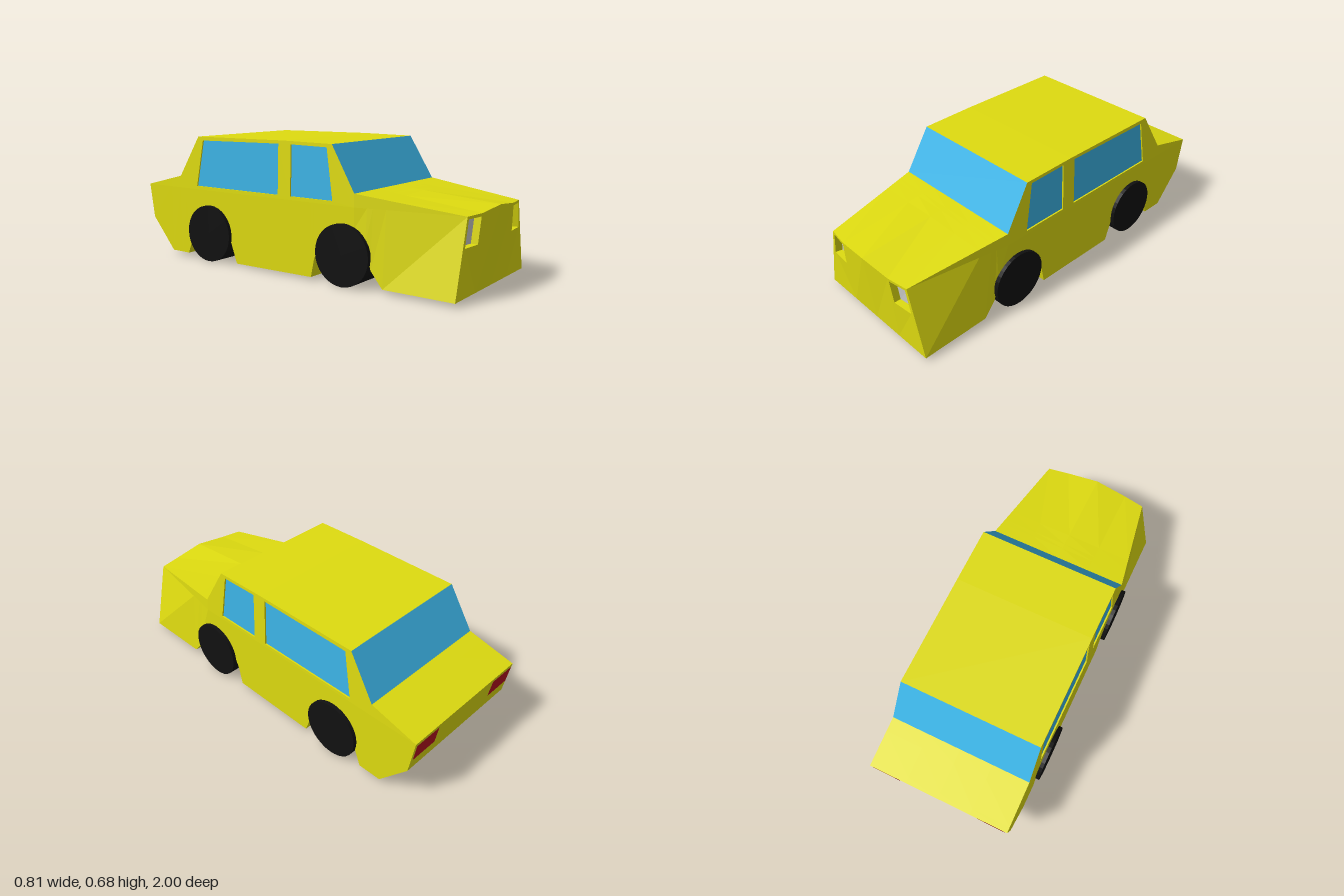
import * as THREE from 'three';

const mat = (color) => new THREE.MeshStandardMaterial({ color, flatShading: true, side: THREE.DoubleSide });
const PAINT = mat(0xdedb10), GLASS = mat(0x3cb4e6), RED = mat(0xb81020), BLACK = mat(0x111111), GREY = mat(0xcccccc);

const lerp = THREE.MathUtils.lerp;
const mirror = ([x, y, z]) => [-x, y, z];

// Collects triangles and quads into one faceted mesh
class Faces {
  constructor() { this.p = []; }
  tri(a, b, c) { this.p.push(...a, ...b, ...c); }
  quad(a, b, c, d) { this.tri(a, b, c); this.tri(a, c, d); }
  both(a, b, c, d) {
    this.quad(a, b, c, d);
    this.quad(...[d, c, b, a].map(mirror));
  }
  mesh(name, material) {
    const g = new THREE.BufferGeometry();
    g.setAttribute('position', new THREE.Float32BufferAttribute(this.p, 3));
    g.computeVertexNormals();
    const m = new THREE.Mesh(g, material);
    m.name = name;
    return m;
  }
}

// Flat outline with recessed openings; map(u, v, depth) places it in space.
// Frames go to "frame", the recessed panes to "panes"; side = 1 or -1 mirrors.
function recessedPanel(frame, panes, outline, holes, map, depth, side) {
  const at = ([u, v], d) => { const [x, y, z] = map(u, v, d); return [side * x, y, z]; };
  const toV = (pts) => pts.map(([u, v]) => new THREE.Vector2(u, v));
  const all = [...outline, ...holes.flat()];
  for (const [a, b, c] of THREE.ShapeUtils.triangulateShape(toV(outline), holes.map(toV))) {
    const t = [a, b, c].map((i) => at(all[i], 0));
    if (side < 0) t.reverse();
    frame.tri(...t);
  }
  for (const h of holes) {
    h.forEach((p, i) => {
      const q = h[(i + 1) % h.length];
      frame.quad(at(p, 0), at(q, 0), at(q, depth), at(p, depth));
    });
    const pane = h.map((p) => at(p, depth));
    if (side < 0) pane.reverse();
    panes.quad(...pane);
  }
}

// Cabin side leans in slightly from the belt line to the roof
const BELT = 0.39, ROOF = 0.68, COWL = 0.455, Z_COWL = 0.435, Z_DECK = -0.74, Z_FRONT = 0.965;
const cabinW = (y) => 0.385 - 0.01 * (y - BELT) / (ROOF - BELT);

// Underside stations from nose to tail: [z, bottom height], including wheel arches
const STATIONS = [
  [Z_FRONT, 0.02], [0.595, 0.02], [0.53, 0.1], [0.5, 0.22], [Z_COWL, 0.285], [0.32, 0.29], [0.25, 0.22],
  [0.2, 0.11], [0.18, 0.015], [-0.32, 0.01], [-0.36, 0.12], [-0.39, 0.22], [-0.45, 0.29], [-0.57, 0.29],
  [-0.64, 0.2], [-0.655, 0.11], [-0.69, 0.02], [Z_DECK, 0.02], [-0.815, 0.02], [-0.97, 0.2], [-1, BELT],
];

// Nose bulge: forward offset at a given x and height
const bulge = (x) => x < 0.18 ? 0.035 - 0.012 * x / 0.18
  : Math.max(0.005, 0.023 - 0.018 * (x - 0.18) / 0.115);
const noseZ = (x, y) => Z_FRONT + bulge(x) * Math.min(1, (y - 0.02) / 0.37);

// Half cross-section of the lower body at one station
function section([z, yb]) {
  const hood = Math.max(0, (z - Z_COWL) / (Z_FRONT - Z_COWL));
  const deck = Math.max(0, (Z_DECK - z) / (1 + Z_DECK));
  const yt = lerp(COWL, BELT, Math.max(hood, deck));
  const wTop = lerp(lerp(cabinW(COWL), 0.295, hood), 0.385, deck);
  const nose = hood === 1;
  return {
    bottom: [0.385, yb, z],
    belt: [lerp(0.385, 0.295, hood), BELT, nose ? noseZ(0.295, BELT) : z],
    top: [wTop, yt, nose ? noseZ(0.295, BELT) : z],
    inner: [0.18, yt + 0.002 * hood, nose ? noseZ(0.18, BELT) : z],
    mid: [0, yt + 0.02 * hood, nose ? 1 : z],
  };
}

function lowerBody() {
  const f = new Faces(), lamps = new Faces();
  const rings = STATIONS.map(section);
  for (let i = 0; i < rings.length - 1; i++) {
    const a = rings[i], b = rings[i + 1];
    f.both(a.bottom, b.bottom, b.belt, a.belt);
    f.quad(mirror(a.bottom), mirror(b.bottom), b.bottom, a.bottom);
    const underCabin = a.bottom[2] <= Z_COWL && b.bottom[2] >= Z_DECK;
    if (underCabin) continue;
    // Hood or rear deck
    f.both(a.belt, b.belt, b.top, a.top);
    f.both(a.top, b.top, b.inner, a.inner);
    f.both(a.inner, b.inner, b.mid, a.mid);
  }
  // Nose, with a recessed headlight on each side
  const n = rings[0];
  f.both([0, 0.02, Z_FRONT], [0.18, 0.02, Z_FRONT], n.inner, n.mid);
  const outline = [[0.18, 0.02], [0.385, 0.02], [0.295, BELT], [0.18, 0.392]];
  const lamp = [[0.196, 0.25], [0.309, 0.25], [0.284, 0.377], [0.185, 0.377]];
  const map = (x, y, d) => [x - 0.2 * d * (x > 0.25 ? 1 : 0), y, noseZ(x, y) - d];
  for (const s of [1, -1]) recessedPanel(f, lamps, outline, [lamp], map, 0.035, s);
  return [f.mesh('lowerBody', PAINT), lamps.mesh('headlights', GREY)];
}

function cabin() {
  const f = new Faces(), panes = new Faces();
  // Side walls with two windows each, drawn in (-z, y)
  const outline = [[-Z_COWL, BELT], [-Z_DECK, BELT], [-Z_DECK, COWL], [0.6, ROOF], [0, 0.684], [-0.3, ROOF], [-Z_COWL, COWL]];
  const windows = [
    [[-0.31, 0.408], [-0.05, 0.408], [-0.05, 0.667], [-0.27, 0.663]],
    [[0.03, 0.408], [0.61, 0.408], [0.565, 0.66], [0.03, 0.667]],
  ];
  const map = (u, v, d) => [cabinW(v) - d, v, -u];
  for (const s of [1, -1]) recessedPanel(f, panes, outline, windows, map, 0.008, s);
  // Roof, in two shallow halves
  const edge = (y, z) => [cabinW(y), y, z];
  const across = (faces, p, q) => faces.quad(mirror(p), p, q, mirror(q));
  across(f, edge(ROOF, 0.3), edge(0.684, 0));
  across(f, edge(0.684, 0), edge(ROOF, -0.6));
  // Windscreen and rear window
  const front = new Faces(), rear = new Faces();
  across(front, edge(COWL, Z_COWL), edge(ROOF, 0.3));
  across(rear, edge(ROOF, -0.6), edge(COWL, Z_DECK));
  return [f.mesh('cabin', PAINT), panes.mesh('sideWindows', GLASS),
    front.mesh('windscreen', GLASS), rear.mesh('rearWindow', GLASS)];
}

// Tail lamps lie just proud of the sloping rear panel
function tailLights() {
  const f = new Faces();
  const at = (x, y) => [x, y, lerp(-0.97, -1, (y - 0.2) / 0.19) - 0.003];
  f.both(at(0.375, 0.275), at(0.215, 0.275), at(0.215, 0.375), at(0.375, 0.375));
  return f.mesh('tailLights', RED);
}

// Each pair of wheels is one full-width roller
function wheels(name, z) {
  const g = new THREE.CylinderGeometry(0.154, 0.154, 0.81, 32).rotateZ(Math.PI / 2);
  const m = new THREE.Mesh(g, BLACK);
  m.name = name;
  m.position.set(0, 0.154, z);
  return m;
}

export function createModel() {
  const car = new THREE.Group();
  car.name = 'car';
  car.add(...lowerBody(), ...cabin(), tailLights(), wheels('frontWheels', 0.375), wheels('rearWheels', -0.51));
  return car;
}
